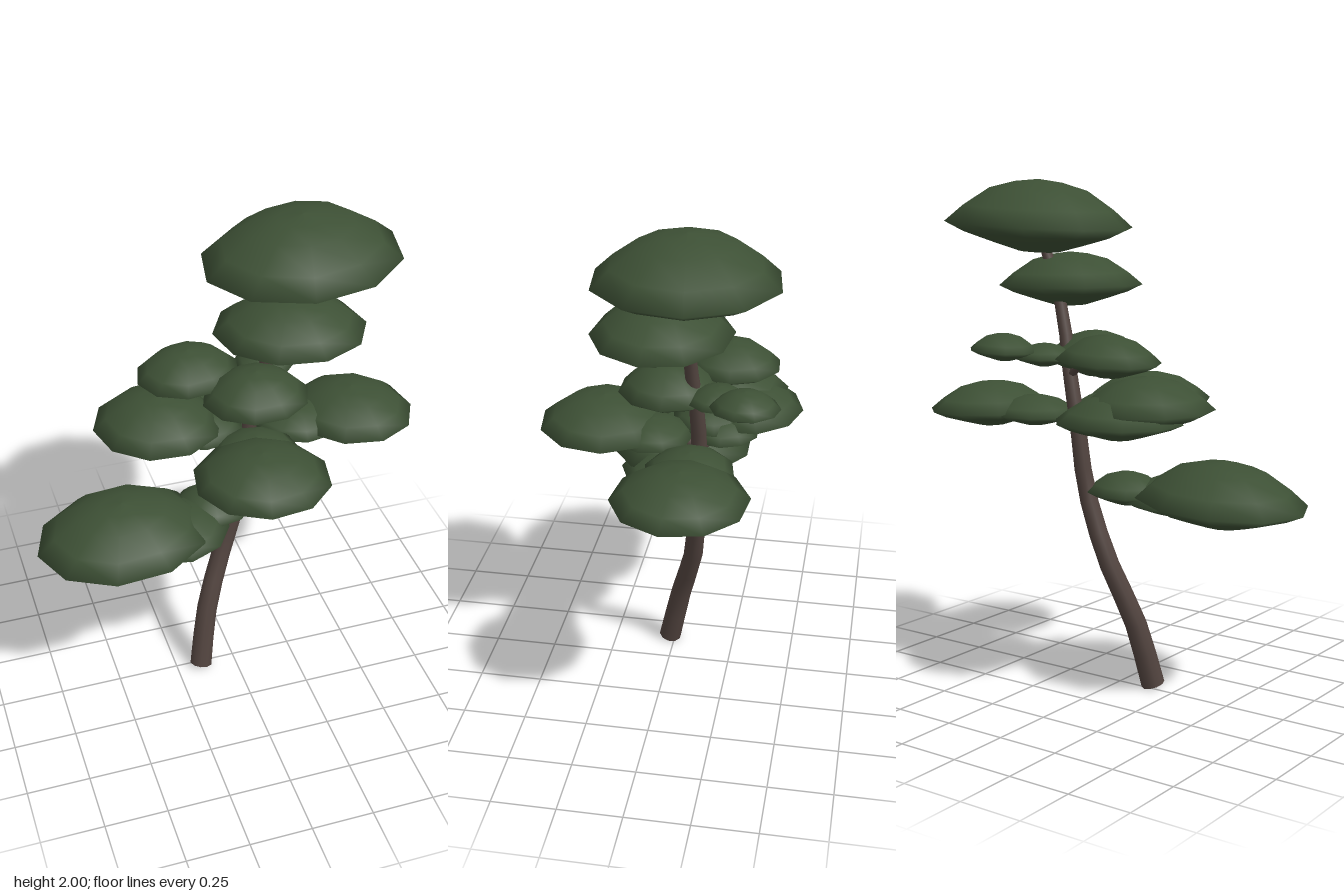
import * as THREE from 'three';

const foliage = new THREE.MeshStandardMaterial({ color: 0x3d5035 });
foliage.name = 'pineGreen';
const bark = new THREE.MeshStandardMaterial({ color: 0x52443f });
bark.name = 'barkBrown';

// Tapered round limb along a list of points, closed at both ends
function limb(name, points, r0, r1, steps, sides) {
  const group = new THREE.Group();
  group.name = name;
  const curve = new THREE.CatmullRomCurve3(points.map(p => new THREE.Vector3(...p)));
  const geo = new THREE.TubeGeometry(curve, steps, 1, sides, false);
  const pos = geo.attributes.position;
  const v = new THREE.Vector3();
  for (let i = 0; i < pos.count; i++) {
    const t = Math.floor(i / (sides + 1)) / steps;
    const centre = curve.getPointAt(t);
    v.fromBufferAttribute(pos, i).sub(centre).multiplyScalar(r0 + (r1 - r0) * t).add(centre);
    pos.setXYZ(i, v.x, v.y, v.z);
  }
  const tube = new THREE.Mesh(geo, bark);
  tube.name = name + 'Bark';
  group.add(tube);
  for (const [t, r, dir] of [[0, r0, -1], [1, r1, 1]]) {
    const cap = new THREE.Mesh(new THREE.CircleGeometry(r, sides), bark);
    cap.name = name + 'End';
    cap.position.copy(curve.getPointAt(t));
    cap.quaternion.setFromUnitVectors(new THREE.Vector3(0, 0, 1), curve.getTangentAt(t).multiplyScalar(dir));
    group.add(cap);
  }
  return group;
}

// Pointed-rim cushion profile: radius share, height share
const PROFILE = [[0, 0], [0.22, 0.01], [0.52, 0.13], [0.8, 0.25], [1, 0.38], [0.8, 0.61], [0.52, 0.86], [0.25, 0.96], [0, 1]]
  .map(([r, y]) => new THREE.Vector2(r, y));

// Ten-sided foliage cushion; tilt is the slope of the rim along x
function pad(name, x, z, rx, rz, y0, y1, turn, tilt = 0) {
  const geo = new THREE.LatheGeometry(PROFILE, 10);
  geo.rotateY(THREE.MathUtils.degToRad(turn));
  geo.scale(rx, y1 - y0, rz);
  const pos = geo.attributes.position;
  for (let i = 0; i < pos.count; i++) {
    pos.setY(i, pos.getY(i) + pos.getX(i) * tilt);
  }
  const mesh = new THREE.Mesh(geo, foliage);
  mesh.name = name;
  mesh.position.set(x, y0, z);
  return mesh;
}

export function createModel() {
  const tree = new THREE.Group();
  tree.name = 'layeredPine';

  // Leaning trunk
  tree.add(limb('trunk', [
    [-0.147, 0.012, 0.02], [-0.1, 0.27, -0.035], [-0.01, 0.53, -0.1], [0.075, 0.8, -0.12],
    [0.105, 1.05, -0.135], [0.145, 1.25, -0.13], [0.2, 1.5, -0.108], [0.29, 1.78, -0.115],
  ], 0.047, 0.02, 14, 10));

  // Thin branches hidden in the foliage
  const branches = [
    [[0.075, 0.8, -0.12], [-0.12, 0.8, -0.04], [-0.42, 0.81, 0.02]],
    [[0.105, 1.05, -0.135], [0.28, 1.09, -0.13], [0.52, 1.1, -0.13]],
    [[0.105, 1.06, -0.135], [-0.05, 1.11, -0.15], [-0.24, 1.17, -0.18]],
    [[0.105, 1.06, -0.135], [-0.02, 1.09, -0.2], [-0.18, 1.1, -0.27]],
    [[0.11, 1.08, -0.135], [0.08, 1.11, 0.03], [0.04, 1.13, 0.24]],
    [[0.145, 1.25, -0.13], [0.03, 1.32, -0.18], [-0.1, 1.34, -0.23]],
    [[0.15, 1.28, -0.13], [0.13, 1.32, -0.08], [0.1, 1.33, -0.02]],
    [[0.16, 1.3, -0.13], [0.23, 1.34, -0.23], [0.31, 1.36, -0.32]],
  ];
  branches.forEach((points, i) => tree.add(limb('branch' + (i + 1), points, 0.018, 0.008, 4, 6)));

  // Foliage cushions, from the crown down: name, x, z, rx, rz, bottom, top, turn, tilt
  const pads = [
    ['crownPad', 0.305, -0.115, 0.385, 0.345, 1.72, 2.0, 26, 0.05],
    ['upperPad', 0.23, -0.015, 0.295, 0.265, 1.51, 1.72, 10, -0.02],
    ['thirdTierFrontPad', 0.1, -0.02, 0.21, 0.195, 1.24, 1.42, 18, 0.02],
    ['thirdTierRightPad', -0.11, -0.23, 0.205, 0.19, 1.27, 1.43, 22, 0.05],
    ['thirdTierLeftPad', 0.31, -0.33, 0.135, 0.13, 1.315, 1.42, 5, 0.05],
    ['thirdTierInnerPad', 0.2, -0.22, 0.12, 0.12, 1.29, 1.38, 30, 0],
    ['secondTierRightPad', -0.25, -0.18, 0.255, 0.26, 1.08, 1.28, 14, 0],
    ['secondTierRightInnerPad', -0.08, -0.16, 0.17, 0.16, 1.06, 1.19, 28, 0],
    ['secondTierBackPad', -0.19, -0.275, 0.25, 0.23, 1.05, 1.22, 0, 0],
    ['secondTierBackInnerPad', -0.03, -0.21, 0.15, 0.14, 1.04, 1.15, 20, 0],
    ['secondTierFrontPad', 0.04, 0.245, 0.265, 0.255, 1.05, 1.235, 26, -0.02],
    ['secondTierFrontInnerPad', 0.08, 0.05, 0.17, 0.16, 1.06, 1.17, 8, 0],
    ['secondTierLeftPad', 0.54, -0.13, 0.255, 0.255, 1.02, 1.2, 10, -0.03],
    ['secondTierLeftInnerPad', 0.32, -0.13, 0.19, 0.17, 1.04, 1.16, 30, 0],
    ['lowestPad', -0.455, 0.02, 0.345, 0.3, 0.7, 0.95, 20, 0.05],
    ['lowestMiddlePad', -0.25, 0.03, 0.22, 0.21, 0.715, 0.87, 4, 0.04],
    ['lowestInnerPad', -0.07, -0.05, 0.165, 0.15, 0.75, 0.88, 30, 0.02],
  ];
  for (const p of pads) tree.add(pad(...p));

  return tree;
}
